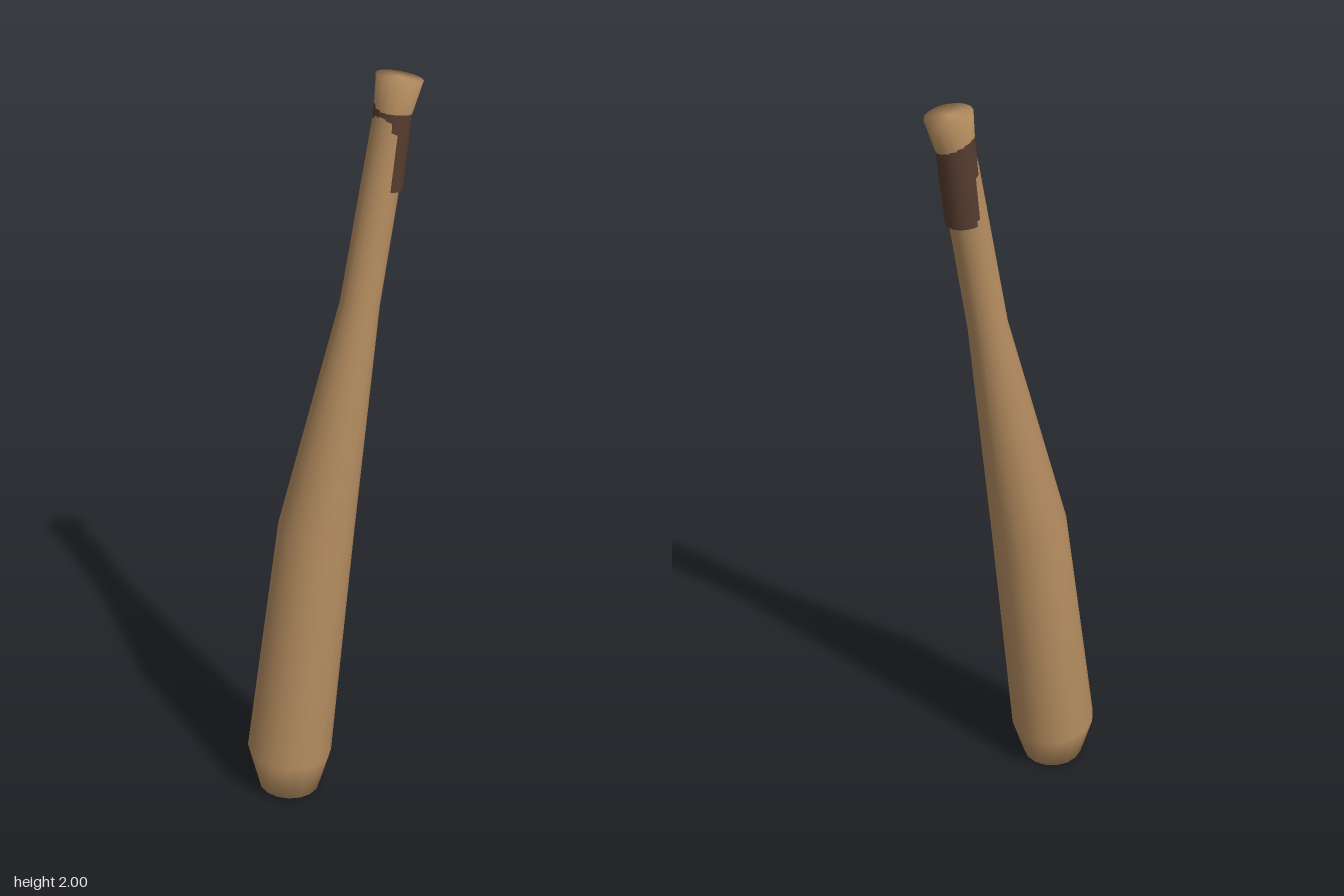
import * as THREE from 'three';

const SIDES = 16;

// Cross-sections of the bat, bottom to top: centre x, y, z, radius, lean in x, lean in z
const RINGS = [
  [-0.073, 0.006, 0.1, 0.083, 0.02, -0.06],
  [-0.074, 0.12, 0.093, 0.115, 0.05, -0.09],
  [-0.02, 0.8, 0.025, 0.1, 0.1, -0.12],
  [0.063, 1.42, -0.065, 0.05, 0.12, -0.14],
  [0.116, 1.9, -0.136, 0.046, 0.12, -0.14],
  [0.128, 1.989, -0.15, 0.058, 0.13, -0.14],
];

// Smooth closed loft through tilted circular sections, with flat ends
function loft(rings) {
  const pos = [], index = [];
  for (const [x, y, z, r, sx, sz] of rings) {
    for (let i = 0; i < SIDES; i++) {
      const a = (i / SIDES) * Math.PI * 2;
      const dx = r * Math.cos(a), dz = r * Math.sin(a);
      pos.push(x + dx, y - sx * dx - sz * dz, z + dz);
    }
  }
  const last = (rings.length - 1) * SIDES;
  const bottom = pos.length / 3, top = bottom + 1;
  pos.push(...rings[0].slice(0, 3), ...rings[rings.length - 1].slice(0, 3));
  for (let i = 0; i < SIDES; i++) {
    const j = (i + 1) % SIDES;
    for (let k = 0; k < last; k += SIDES) {
      index.push(k + i, k + SIDES + i, k + j, k + j, k + SIDES + i, k + SIDES + j);
    }
    index.push(bottom, i, j, top, last + j, last + i);
  }
  const geo = new THREE.BufferGeometry();
  geo.setAttribute('position', new THREE.Float32BufferAttribute(pos, 3));
  geo.setIndex(index);
  geo.computeVertexNormals();
  return geo;
}

export function createModel() {
  const group = new THREE.Group();
  group.name = 'bat';

  // Wooden body: barrel, tapering handle and flared knob
  const body = new THREE.Mesh(loft(RINGS), new THREE.MeshStandardMaterial({ color: 0xb58d60 }));
  body.name = 'batBody';
  group.add(body);

  // Dark grip sleeve, standing slightly proud of one side of the handle
  const from = new THREE.Vector3(0.102, 1.715, -0.117);
  const to = new THREE.Vector3(0.119, 1.945, -0.142);
  const axis = to.clone().sub(from);
  const grip = new THREE.Mesh(
    new THREE.CylinderGeometry(0.048, 0.048, axis.length(), SIDES),
    new THREE.MeshStandardMaterial({ color: 0x573d30 })
  );
  grip.name = 'grip';
  grip.position.copy(from).add(to).multiplyScalar(0.5);
  grip.quaternion.setFromUnitVectors(new THREE.Vector3(0, 1, 0), axis.normalize());
  group.add(grip);

  return group;
}
